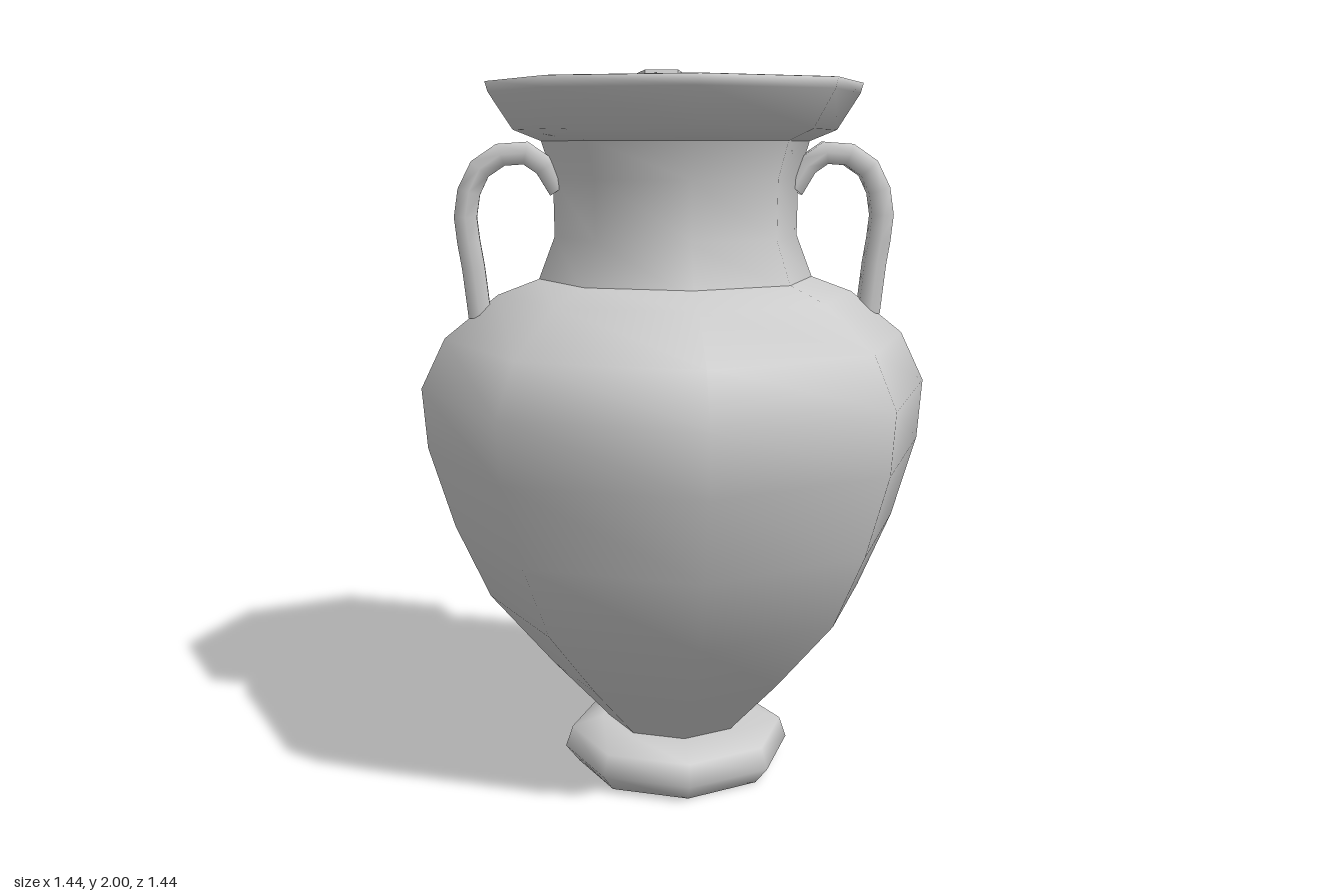
import * as THREE from 'three';

const material = new THREE.MeshStandardMaterial({ color: 0xcccccc, side: THREE.DoubleSide });
const coinMaterial = new THREE.MeshStandardMaterial({ color: 0xcccccc, flatShading: true });

// Eight-sided turned part from [radius, height] pairs, listed bottom to top
function turned(name, profile) {
  const points = profile.map(([r, y]) => new THREE.Vector2(r, y));
  const mesh = new THREE.Mesh(new THREE.LatheGeometry(points, 8), material);
  mesh.name = name;
  return mesh;
}

// Thin bent handle rising from the shoulder and curling in to the neck
function handle(name, side) {
  const path = [[0.55, 1.33], [0.565, 1.47], [0.582, 1.62], [0.545, 1.73], [0.465, 1.778], [0.385, 1.765], [0.325, 1.68]];
  const curve = new THREE.CatmullRomCurve3(path.map(([x, y]) => new THREE.Vector3(side * x, y, 0)));
  const mesh = new THREE.Mesh(new THREE.TubeGeometry(curve, 10, 0.036, 6), material);
  mesh.name = name;
  return mesh;
}

export function createModel() {
  const group = new THREE.Group();

  group.add(turned('foot', [
    [0, 0], [0.29, 0], [0.33, 0.05], [0.31, 0.11], [0.22, 0.14], [0, 0.14],
  ]));
  group.add(turned('body', [
    [0.19, 0.13], [0.36, 0.31], [0.54, 0.52], [0.635, 0.73], [0.705, 0.96],
    [0.718, 1.13], [0.65, 1.27], [0.5, 1.39], [0.38, 1.435], [0.3, 1.445],
  ]));
  group.add(turned('neck', [
    [0.39, 1.42], [0.34, 1.55], [0.342, 1.71], [0.375, 1.815],
  ]));
  // Flared lip with the shallow dish inside it
  group.add(turned('rim', [
    [0.33, 1.8], [0.375, 1.81], [0.45, 1.84], [0.515, 1.94], [0.523, 1.968],
    [0.495, 1.97], [0.44, 1.92], [0.3, 1.89], [0, 1.87],
  ]));

  group.add(handle('leftHandle', 1), handle('rightHandle', -1));

  // Loose pile of six-sided coins: x, y, z, turn, lean toward +z, lean toward +x
  const coins = [
    [-0.10, 1.91, -0.20, 0.2, 0.2, 0.1],
    [-0.035, 1.965, -0.135, 0, -0.25, 0],
    [0.18, 1.91, -0.14, 0, 0.08, -0.15],
    [-0.13, 1.94, 0, 0.15, 0.1, -0.4],
    [0.12, 1.95, -0.02, 0.4, 0, -0.08],
    [-0.015, 1.93, 0.125, 0, 0.4, 0],
    [0.17, 1.91, 0.10, 0.1, 0, -0.15],
  ];
  const coinGeometry = new THREE.CylinderGeometry(0.092, 0.092, 0.04, 6).rotateY(Math.PI / 6);
  const pile = new THREE.Group();
  pile.name = 'coins';
  for (const [x, y, z, turn, leanZ, leanX] of coins) {
    const coin = new THREE.Mesh(coinGeometry, coinMaterial);
    coin.name = 'coin';
    coin.position.set(x, y, z);
    coin.rotation.set(leanZ, turn, -leanX, 'XZY');
    pile.add(coin);
  }
  group.add(pile);
  return group;
}
